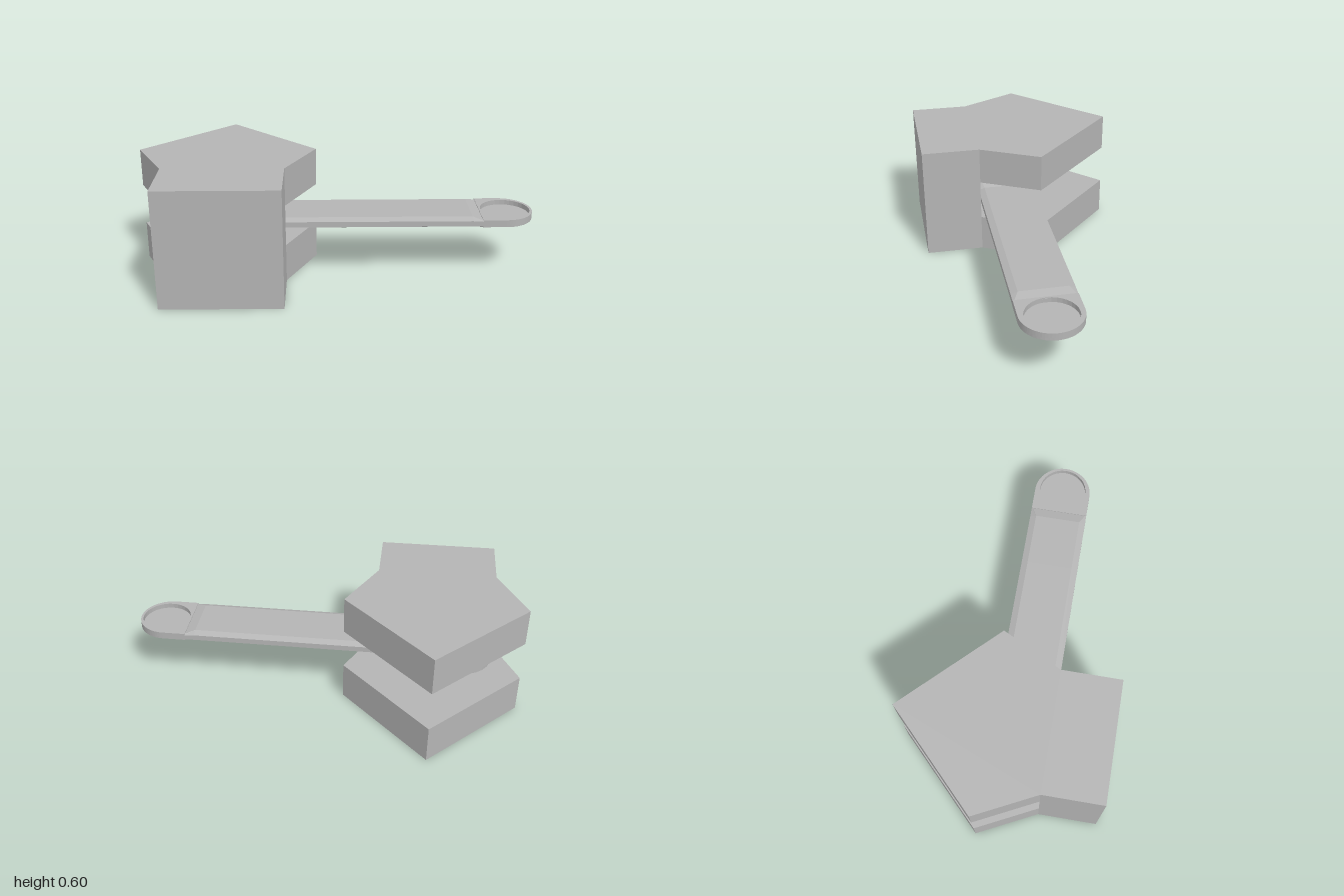
import * as THREE from 'three';

const Z = 0.075;              // centre line of the arm
const LOW = 0.195, HIGH = 0.407, TOP = 0.6; // slot floor, slot ceiling, body top

const grey = new THREE.MeshStandardMaterial({ color: 0xb4b4b4 });
grey.name = 'plain grey';
grey.flatShading = true;

function part(name, geometry) {
  const mesh = new THREE.Mesh(geometry, grey);
  mesh.name = name;
  return mesh;
}

// Upright slab from a plan shape drawn in (x, -z)
function slab(shape, y0, y1, curveSegments = 12) {
  const g = new THREE.ExtrudeGeometry(shape, { depth: y1 - y0, bevelEnabled: false, curveSegments });
  g.rotateX(-Math.PI / 2);
  g.translate(0, y0, 0);
  return g;
}

// Loft of bevelled sections: x, top, side top, side bottom, bottom, outer half width, inner half width
function loft(sections) {
  const pos = [], idx = [], n = 8;
  for (const [x, t, st, sb, b, wo, wi] of sections) {
    const ring = [[t, wi], [st, wo], [sb, wo], [b, wi], [b, -wi], [sb, -wo], [st, -wo], [t, -wi]];
    for (const [y, z] of ring) pos.push(x, y, Z + z);
  }
  for (let i = 0; i < sections.length - 1; i++) {
    for (let j = 0; j < n; j++) {
      const a = i * n + j, b = i * n + (j + 1) % n;
      idx.push(a, b, a + n, b, b + n, a + n);
    }
  }
  const last = (sections.length - 1) * n;
  for (let j = 1; j < n - 1; j++) {
    idx.push(0, j + 1, j, last, last + j, last + j + 1);
  }
  const g = new THREE.BufferGeometry();
  g.setAttribute('position', new THREE.Float32BufferAttribute(pos, 3));
  g.setIndex(idx);
  const flat = g.toNonIndexed();
  flat.computeVertexNormals();
  return flat;
}

export function createModel() {
  const group = new THREE.Group();
  group.name = 'handleAndBlock';

  // Body: two pointed jaws joined by a front block, leaving an open slot
  const outline = new THREE.Shape([
    [-0.85, 0.525], [-0.25, 0.525], [-0.25, 0.225], [-0.1, -0.075],
    [-0.55, -0.525], [-1, -0.075], [-0.85, 0.225],
  ].map(([x, z]) => new THREE.Vector2(x, -z)));
  group.add(part('lowerJaw', slab(outline, 0, LOW)));
  group.add(part('upperJaw', slab(outline, HIGH, TOP)));
  const block = new THREE.BoxGeometry(0.6, HIGH - LOW, 0.3);
  block.translate(-0.55, (LOW + HIGH) / 2, 0.375);
  group.add(part('frontBlock', block));

  // Round hub inside the slot
  const hub = new THREE.CylinderGeometry(0.15, 0.15, HIGH - LOW, 24);
  hub.translate(-0.705, (LOW + HIGH) / 2, Z);
  group.add(part('hub', hub));

  // Arm: full-height root tapering to a thin bevelled bar
  group.add(part('arm', loft([
    [-0.705, HIGH, HIGH, LOW, LOW, 0.15, 0.15],
    [-0.55, HIGH, HIGH, LOW, LOW, 0.15, 0.15],
    [-0.33, 0.331, 0.318, 0.29, 0.276, 0.15, 0.118],
    [0.4, 0.331, 0.318, 0.29, 0.276, 0.15, 0.118],
    [0.68, 0.331, 0.318, 0.29, 0.276, 0.15, 0.118],
    [0.74, 0.316, 0.314, 0.288, 0.286, 0.15, 0.148],
  ])));

  // Rounded tip with a shallow round recess in its top
  const tip = () => {
    const s = new THREE.Shape();
    s.moveTo(0.73, -Z - 0.15);
    s.lineTo(0.85, -Z - 0.15);
    s.absarc(0.85, -Z, 0.15, -Math.PI / 2, Math.PI / 2, false);
    s.lineTo(0.73, -Z + 0.15);
    s.closePath();
    return s;
  };
  group.add(part('tipBase', slab(tip(), 0.285, 0.297)));
  const rim = tip();
  rim.holes.push(new THREE.Path().absarc(0.863, -Z, 0.125, 0, Math.PI * 2, true));
  group.add(part('tipRim', slab(rim, 0.297, 0.322, 16)));

  return group;
}
